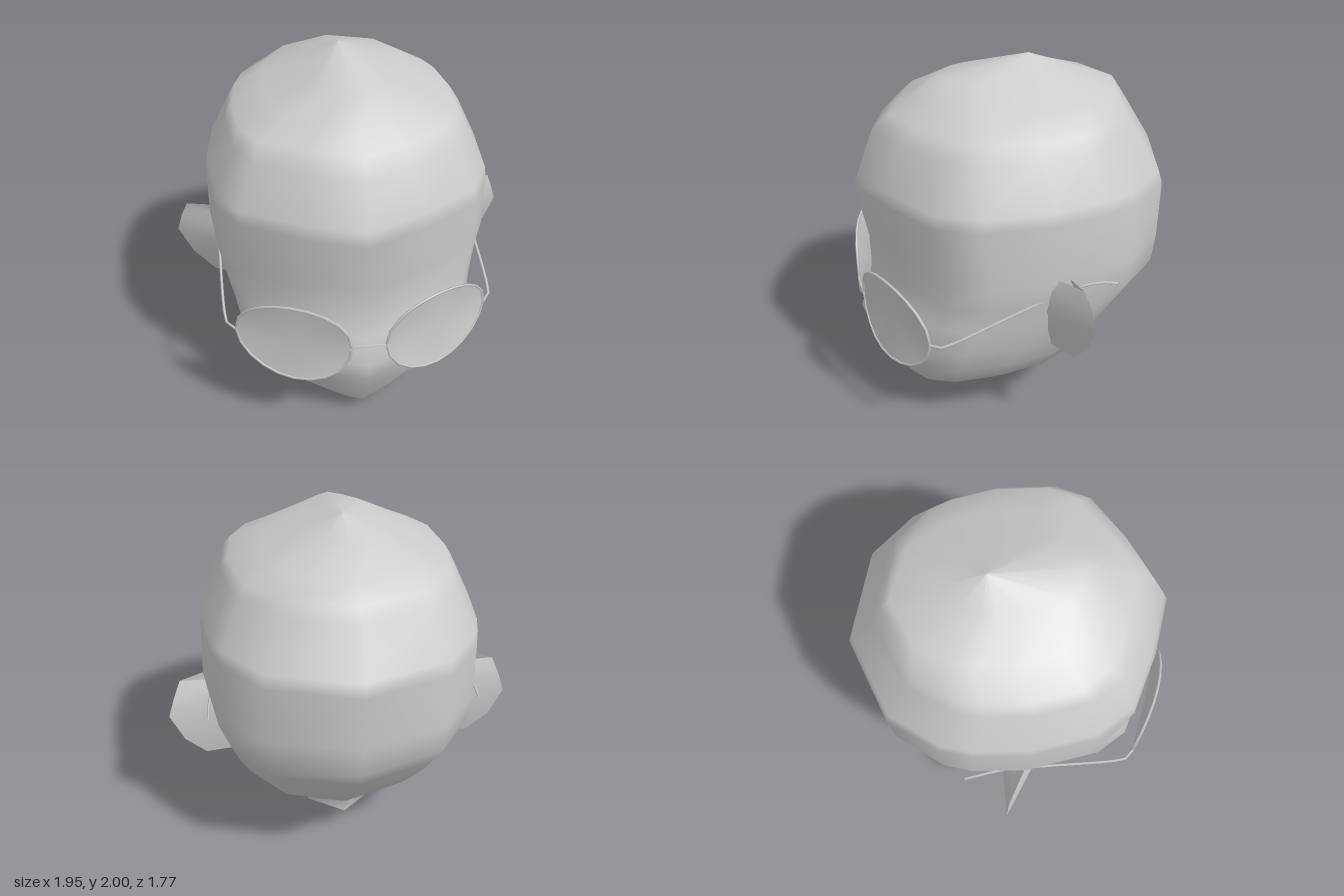
import * as THREE from 'three';

const V = (x, y, z) => new THREE.Vector3(x, y, z);

// Skins rows of points into a smooth surface; closed rows wrap around.
function skin(rows, closed) {
  const n = rows[0].length, index = [];
  const cols = closed ? n : n - 1;
  for (let j = 0; j < rows.length - 1; j++) {
    for (let i = 0; i < cols; i++) {
      const k = (i + 1) % n;
      const a = j * n + i, b = j * n + k, c = (j + 1) * n + k, d = (j + 1) * n + i;
      index.push(a, b, c, a, c, d);
    }
  }
  const geo = new THREE.BufferGeometry().setFromPoints(rows.flat());
  geo.setIndex(index);
  geo.computeVertexNormals();
  return geo;
}

// Triangle fan around a centre point.
function fan(center, ring) {
  const geo = new THREE.BufferGeometry().setFromPoints([center, ...ring]);
  geo.setIndex(ring.flatMap((_, i) => [0, i + 1, (i + 1) % ring.length + 1]));
  geo.computeVertexNormals();
  return geo;
}

export function createModel() {
  const model = new THREE.Group();
  model.name = 'headWithGlasses';
  const grey = new THREE.MeshStandardMaterial({ color: 0xcccccc, side: THREE.DoubleSide });
  grey.name = 'plain grey';

  // The whole head leans very slightly
  const tilted = new THREE.Group();
  tilted.name = 'head';
  tilted.rotation.set(0, 0.014, 0.01);
  tilted.position.x = 0.005;
  model.add(tilted);
  const add = (name, geo) => {
    const mesh = new THREE.Mesh(geo, grey);
    mesh.name = name;
    tilted.add(mesh);
  };
  const wire = (name, pts, closed = false, seg = 8) =>
    add(name, new THREE.TubeGeometry(
      new THREE.CatmullRomCurve3(pts, closed, 'centripetal'), seg, 0.008, 4, closed));

  // Skull: one outline scaled to each level's half width, front and back
  const half = [[0, 1], [0.4, 0.86], [0.8, 0.66], [0.95, 0.42], [1, 0],
    [0.95, -0.35], [0.88, -0.53], [0.62, -0.82], [0, -1]];
  const outline = [...half, ...half.slice(1, -1).reverse().map(([u, v]) => [-u, v])];
  const levels = [ // y, half width, front z, back z
    [0.05, 0.14, 0.62, 0.2], [0.09, 0.22, 0.66, 0.06], [0.2, 0.4, 0.73, -0.28],
    [0.33, 0.55, 0.79, -0.42], [0.45, 0.62, 0.845, -0.53], [0.59, 0.675, 0.885, -0.65],
    [0.73, 0.705, 0.83, -0.76], [0.87, 0.74, 0.805, -0.86], [1.04, 0.77, 0.805, -0.87],
    [1.36, 0.76, 0.86, -0.885], [1.43, 0.75, 0.835, -0.86], [1.67, 0.635, 0.74, -0.71],
    [1.74, 0.59, 0.645, -0.665], [1.82, 0.42, 0.53, -0.61], [1.92, 0.19, 0.39, -0.34],
  ];
  const rings = levels.map(([y, w, f, b]) =>
    outline.map(([u, v]) => V(u * w, y, (f + b) / 2 + v * (f - b) / 2)));
  const pole = (x, y, z) => outline.map(() => V(x, y, z));
  add('skull', skin([pole(0, 0.035, 0.42), ...rings, pole(0, 2, -0.12)], true));

  // Short diamond-shaped neck stub with its flat end
  const neckEnd = [V(0, 0, 0.11), V(0.19, 0.12, -0.13), V(0, 0.2, -0.36), V(-0.19, 0.12, -0.13)];
  const neckTop = [V(0, 0.08, 0.2), V(0.22, 0.26, -0.1), V(0, 0.31, -0.39), V(-0.22, 0.26, -0.1)];
  add('neck', skin([neckEnd, neckTop], true));
  add('neckEnd', fan(V(0, 0.1, -0.125), [...neckEnd].reverse()));

  for (const s of [1, -1]) {
    const side = s > 0 ? 'left' : 'right';
    const row = pts => pts.map(([x, y, z]) => V(s * x, y, z));

    // Ear: front and back sheets meeting at the rim
    const front = row([[0.74, 1.05, -0.02], [0.74, 0.97, 0.01], [0.72, 0.85, 0.02],
      [0.67, 0.7, 0], [0.61, 0.56, -0.03]]);
    const rim = row([[0.9, 1.055, -0.12], [0.94, 0.96, -0.15], [0.975, 0.85, -0.165],
      [0.9, 0.68, -0.155], [0.785, 0.555, -0.125]]);
    const back = row([[0.74, 1.04, -0.1], [0.73, 0.97, -0.13], [0.7, 0.85, -0.15],
      [0.65, 0.7, -0.14], [0.58, 0.56, -0.11]]);
    const sheet = rows => skin(s > 0 ? rows.reverse() : rows, false);
    add(side + 'EarFront', sheet([front, rim]));
    add(side + 'EarBack', sheet([rim, back]));

    // Lens and its wire rim, wrapped around the face
    const edge = [];
    for (let i = 0; i < 20; i++) {
      const t = s * i / 20 * Math.PI * 2;
      const x = 0.385 + s * 0.295 * Math.cos(t);
      edge.push(V(s * x, 0.73 + 0.25 * Math.sin(t), 0.88 - 0.55 * x * x));
    }
    const ordered = s > 0 ? edge : [...edge].reverse();
    add(side + 'Lens', fan(V(s * 0.385, 0.73, 0.76), ordered));
    wire(side + 'LensRim', edge, true, 20);

    // Hinge and temple arm, passing through the head behind the ear
    wire(side + 'TempleArm', row([[0.68, 0.73, 0.63], [0.715, 0.73, 0.6], [0.73, 0.74, 0.56],
      [0.735, 0.9, 0.08], [0.735, 0.965, -0.15], [0.75, 0.98, -0.28], [0.755, 0.96, -0.37]]),
    false, 14);
  }

  // Nose bridge of the glasses
  wire('glassesBridge', [V(-0.1, 0.72, 0.875), V(-0.06, 0.738, 0.88), V(0, 0.74, 0.882),
    V(0.06, 0.738, 0.88), V(0.1, 0.72, 0.875)]);
  return model;
}
